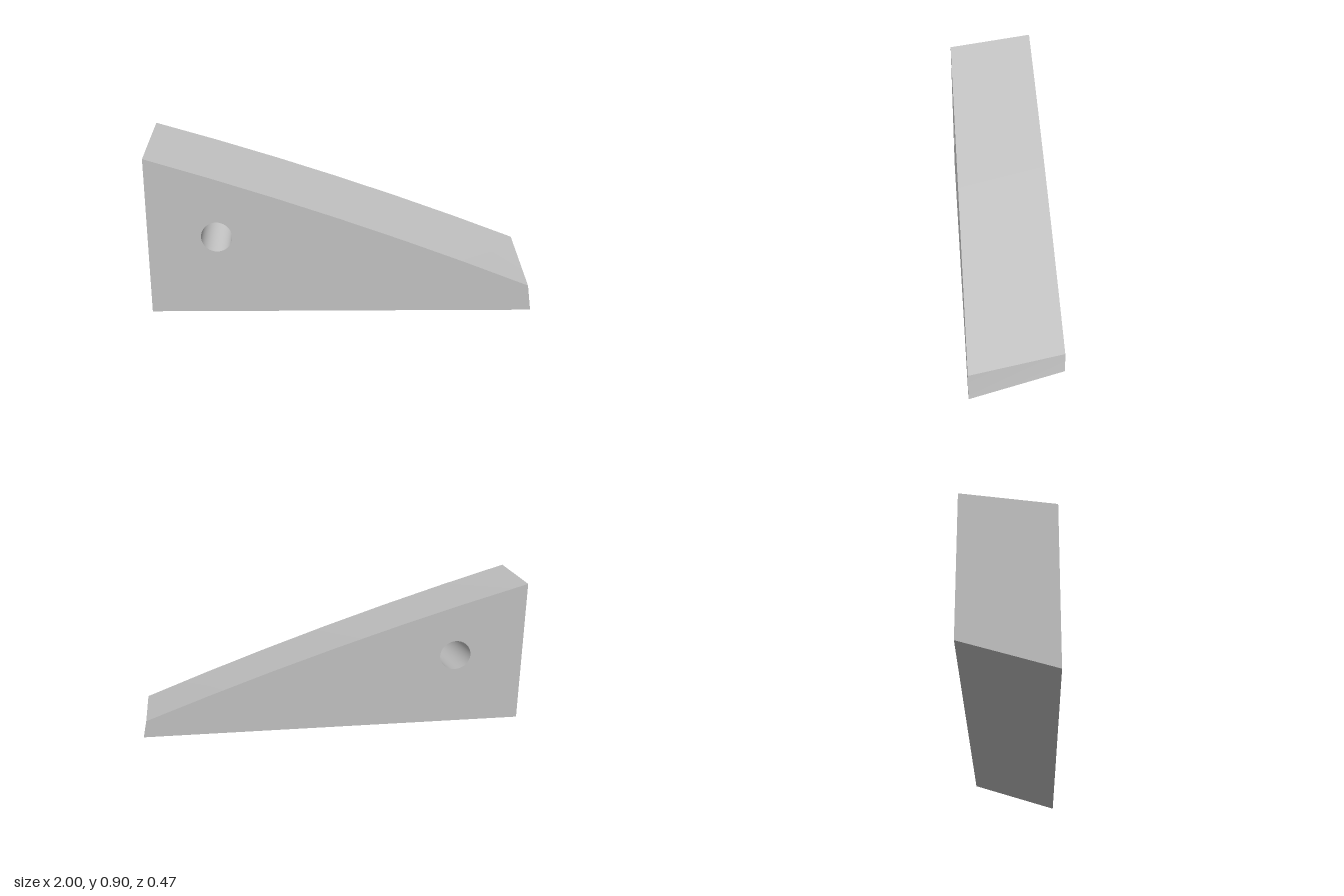
import * as THREE from 'three';
import { toCreasedNormals } from 'three/addons/utils/BufferGeometryUtils.js';

const HALF = 0.2325; // half thickness
const HOLE = { x: -0.645, y: 0.42, r: 0.08 };

// gently bulging upper edge on the front face
function topY(x) {
  const t = (x + 1) / 1.98;
  return 0.84 - 0.7 * t + 0.11 * t * (1 - t);
}

export function createModel() {
  const group = new THREE.Group();
  const grey = new THREE.MeshStandardMaterial({ color: 0xc0c0c0 });
  grey.name = 'grey';

  // side profile with a round bolt hole
  const profile = new THREE.Shape();
  profile.moveTo(-1, 0);
  profile.lineTo(1, 0);
  const steps = 6;
  for (let i = steps; i >= 0; i--) {
    const x = -1 + (1.98 * i) / steps;
    profile.lineTo(x, topY(x));
  }
  profile.closePath();
  const hole = new THREE.Path();
  hole.absarc(HOLE.x, HOLE.y, HOLE.r, 0, Math.PI * 2, true);
  profile.holes.push(hole);

  let geometry = new THREE.ExtrudeGeometry(profile, {
    depth: 2 * HALF, bevelEnabled: false, curveSegments: 24,
  });
  geometry.translate(0, 0, -HALF);

  // raise the back face: bottom rises most, the top edge less, the hole in between
  const p = geometry.attributes.position;
  for (let i = 0; i < p.count; i++) {
    if (p.getZ(i) > 0) continue;
    const x = p.getX(i), y = p.getY(i);
    const inHole = Math.hypot(x - HOLE.x, y - HOLE.y) < HOLE.r * 1.1;
    if (inHole) {
      p.setY(i, y + 0.105);
    } else {
      const t = (x + 1) / 2;
      const rise = y < 0.01 ? 0.14 : 0.065 + 0.03 * t;
      p.setXY(i, x - 0.018 * t, y + rise);
    }
  }
  geometry.computeVertexNormals();
  geometry = toCreasedNormals(geometry, 0.5);

  const wedge = new THREE.Mesh(geometry, grey);
  wedge.name = 'wedgeBlock';
  group.add(wedge);
  return group;
}
